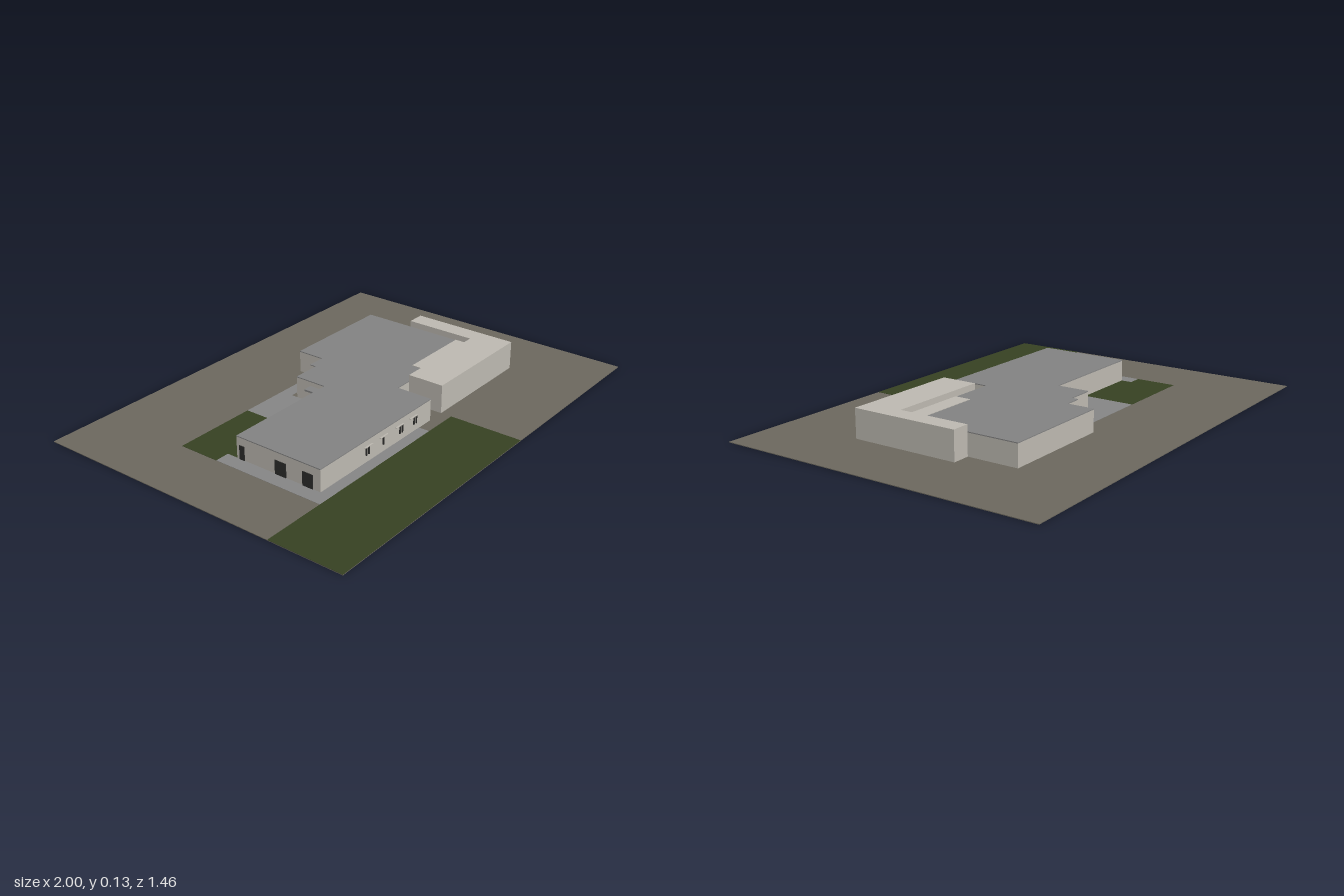
import * as THREE from 'three';

const material = (name, color) => {
  const m = new THREE.MeshStandardMaterial({ color });
  m.name = name;
  return m;
};

export function createModel() {
  const mats = {
    earth: material('earth', 0x6b675d),
    grass: material('grass', 0x364122),
    paving: material('paving', 0x858585),
    roof: material('roof grey', 0x828282),
    wall: material('wall stone', 0xbcb8b0),
    dark: material('dark frame', 0x2c2c2a),
  };
  const model = new THREE.Group();
  model.name = 'buildingSite';

  // Box given by its extents along each axis
  const box = (name, mat, [x0, x1], [y0, y1], [z0, z1], parent = model) => {
    const mesh = new THREE.Mesh(new THREE.BoxGeometry(x1 - x0, y1 - y0, z1 - z0), mat);
    mesh.position.set((x0 + x1) / 2, (y0 + y1) / 2, (z0 + z1) / 2);
    mesh.name = name;
    parent.add(mesh);
    return mesh;
  };

  // Upright prism from a plan outline of [x, z] points
  const prism = (name, mat, outline, y0, y1) => {
    const shape = new THREE.Shape(outline.map(([x, z]) => new THREE.Vector2(x, -z)));
    const geo = new THREE.ExtrudeGeometry(shape, { depth: y1 - y0, bevelEnabled: false });
    geo.rotateX(-Math.PI / 2);
    const mesh = new THREE.Mesh(geo, mat);
    mesh.position.y = y0;
    mesh.name = name;
    model.add(mesh);
    return mesh;
  };

  // Ground slab with lawns and paving laid on top
  const g = 0.003, lay = [g, g + 0.001];
  box('ground', mats.earth, [-1, 1], [0, g], [-0.73, 0.73]);
  box('frontLawn', mats.grass, [-1, 0.14], lay, [0.4, 0.73]);
  prism('backLawn', mats.grass, [
    [-0.715, -0.3], [-0.715, -0.115], [-0.65, -0.115], [-0.65, -0.065],
    [-0.335, -0.065], [-0.335, -0.3],
  ], ...lay);
  prism('frontPath', mats.paving, [
    [-0.715, -0.115], [-0.715, 0.4], [-0.02, 0.4], [-0.02, 0.35],
    [-0.65, 0.35], [-0.65, -0.115],
  ], ...lay);
  prism('backTerrace', mats.paving, [
    [-0.335, -0.3], [-0.335, -0.065], [-0.115, -0.065], [-0.115, -0.245],
    [0.09, -0.245], [0.09, -0.3],
  ], ...lay);

  // Main building: stepped plan, walls and flat roof sheet
  const plan = [
    [-0.65, 0.35], [0.06, 0.35], [0.06, 0.185], [0.61, 0.185], [0.61, -0.37], [0.09, -0.37],
    [0.09, -0.245], [0.01, -0.245], [0.01, -0.215], [-0.115, -0.215], [-0.115, -0.065], [-0.65, -0.065],
  ];
  prism('walls', mats.wall, plan, g, 0.098);
  prism('roof', mats.roof, plan, 0.098, 0.102);
  box('roofPanel', mats.wall, [0.27, 0.61], [0.102, 0.104], [0.11, 0.185]);

  // Taller L-shaped block around the front left corner
  prism('cornerBlock', mats.wall, [
    [0.14, 0.35], [0.69, 0.35], [0.69, -0.14], [0.61, -0.14], [0.61, 0.185], [0.14, 0.185],
  ], g, 0.13);

  // Front windows: slim dark bars under a small projecting head
  [[-0.36, [-0.374, -0.358]], [-0.2625, [-0.265]], [-0.1575, [-0.155, -0.139]], [-0.0625, [-0.059, -0.043]]]
    .forEach(([x, bars]) => {
      const win = new THREE.Group();
      win.name = 'frontWindow';
      model.add(win);
      box('windowHead', mats.wall, [x - 0.025, x + 0.025], [0.07, 0.073], [0.35, 0.356], win);
      bars.forEach((b) => box('windowBar', mats.dark, [b - 0.003, b + 0.003], [0.035, 0.07], [0.35, 0.354], win));
    });

  // Openings on the right end wall
  [[-0.05, -0.025], [0.13, 0.185], [0.265, 0.315]].forEach((z) =>
    box('endDoor', mats.dark, [-0.653, -0.65], [g + 0.001, 0.065], z));

  // Back entrance with canopy
  box('entranceDoor', mats.dark, [-0.118, -0.115], [g + 0.001, 0.065], [-0.13, -0.08]);
  box('entranceCanopy', mats.roof, [-0.155, -0.115], [0.072, 0.08], [-0.14, -0.075]);

  return model;
}
